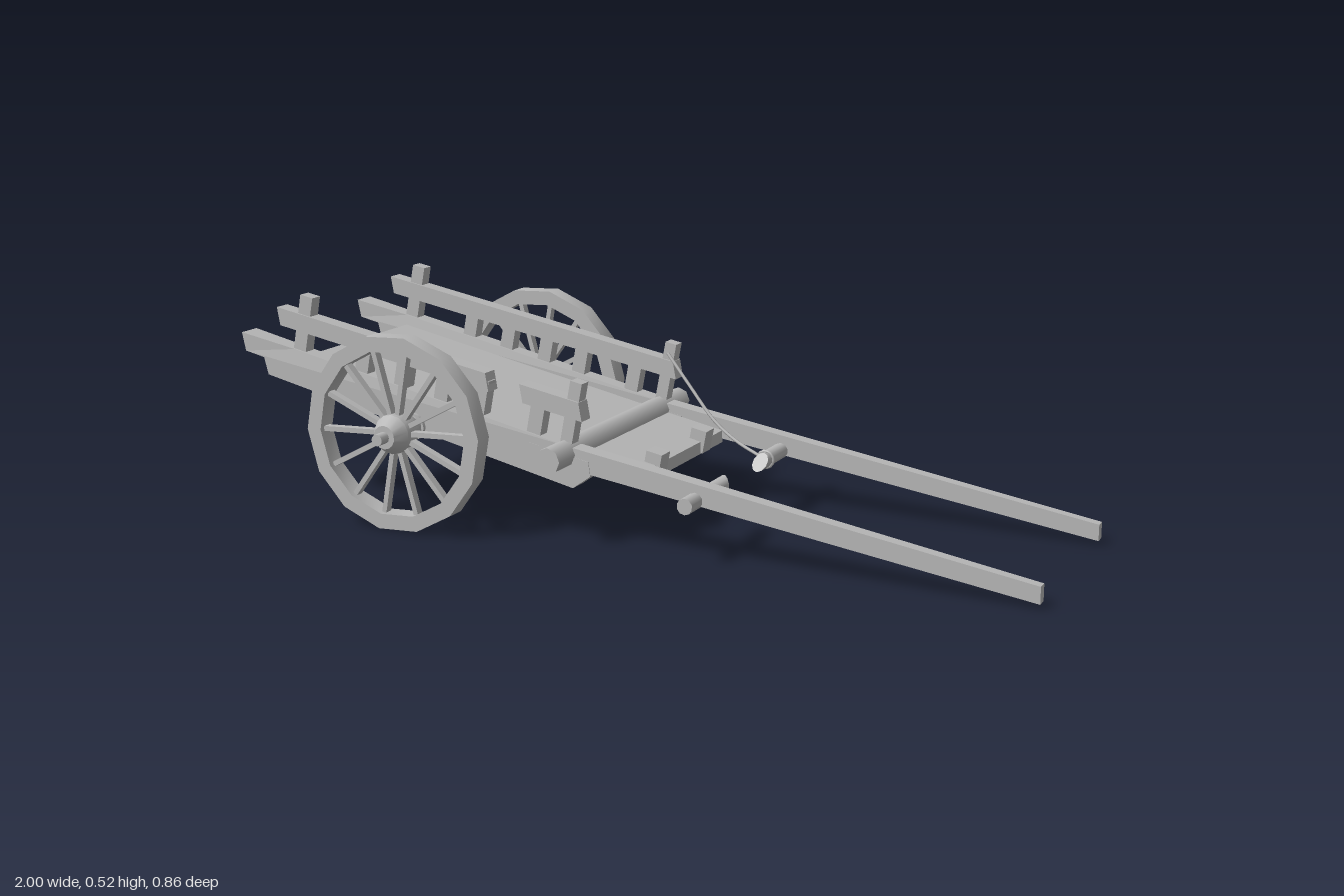
import * as THREE from 'three';
import { toCreasedNormals } from 'three/addons/utils/BufferGeometryUtils.js';

export function createModel() {
  const cart = new THREE.Group();
  cart.name = 'handCart';
  const wood = new THREE.MeshStandardMaterial({ color: 0xb8b8b8 });
  wood.name = 'greyWood';

  const add = (name, geometry, parent = cart) => {
    const mesh = new THREE.Mesh(geometry, wood);
    mesh.name = name;
    parent.add(mesh);
    return mesh;
  };
  // side profile in x/y, given a thickness across z
  const slab = (points, width) => new THREE.ExtrudeGeometry(
    new THREE.Shape(points.map(([x, y]) => new THREE.Vector2(x, y))),
    { depth: width, bevelEnabled: false }).translate(0, 0, -width / 2);
  // round bar lying along z
  const bar = (r, length, sides) =>
    new THREE.CylinderGeometry(r, r, length, sides).rotateX(Math.PI / 2);

  const bedTop = x => 0.365 - (x + 0.85) * 0.209;
  const railY = x => 0.468 - (x + 0.895) * 0.187;
  const tilt = -0.19;

  // sloping bed
  add('bed', slab([[-0.85, 0.335], [0.06, 0.145], [0.06, 0.175], [-0.85, 0.365]], 0.46));
  for (const z of [-0.123, 0.123]) {
    const block = add('bedBracket', new THREE.BoxGeometry(0.04, 0.055, 0.045));
    block.position.set(0.05, 0.177, z);
    block.rotation.z = tilt;
  }

  // cross beams and axle
  add('crossBar', bar(0.031, 0.69, 8)).position.set(-0.115, 0.212, 0);
  add('axleBeam', bar(0.033, 0.56, 12)).position.set(-0.515, 0.235, 0);
  add('axle', bar(0.014, 0.855, 12)).position.set(-0.515, 0.235, 0);

  const fencePost = (parent, x, width, low, high) => {
    const h = high - low;
    const post = add('fencePost', new THREE.BoxGeometry(width, h, 0.032), parent);
    post.position.set(x, (low + high) / 2, 0);
    post.rotation.z = tilt;
  };
  const fenceRail = (parent, x0, x1) => add('fenceRail', slab([
    [x0, railY(x0) - 0.022], [x1, railY(x1) - 0.022],
    [x1 - 0.008, railY(x1) + 0.022], [x0 - 0.008, railY(x0) + 0.022]], 0.042), parent);

  for (const s of [1, -1]) {
    // long shaft, bent at the cross bar and narrowing both ways
    const shaft = slab([[-0.99, 0.375], [-0.85, 0.343], [-0.1, 0.178], [1, 0.014],
      [1, 0.053], [-0.1, 0.23], [-0.85, 0.39], [-1, 0.42]], 1);
    const p = shaft.attributes.position;
    for (let i = 0; i < p.count; i++) {
      const x = p.getX(i);
      const width = x < -0.9 ? 0.058 : x < 0 ? 0.044 : 0.026;
      p.setZ(i, p.getZ(i) * width);
    }
    shaft.computeVertexNormals();
    add('shaft', shaft).position.z = s * 0.248;

    // lower side beam
    add('sideBeam', slab([[-0.93, 0.32], [-0.09, 0.134], [-0.045, 0.166],
      [-0.05, 0.2], [-0.945, 0.375]], 0.046)).position.z = s * 0.248;

    // fence, with a broken gap on the left side
    const fence = new THREE.Group();
    fence.name = s > 0 ? 'leftFence' : 'rightFence';
    fence.position.z = s * 0.248;
    cart.add(fence);
    fencePost(fence, -0.83, 0.035, 0.35, 0.522);
    fencePost(fence, -0.1, 0.03, 0.2, 0.382);
    for (const x of [-0.66, -0.55, -0.44, -0.34, -0.19]) {
      fencePost(fence, x, 0.036, bedTop(x) - 0.01, railY(x));
    }
    if (s > 0) {
      fenceRail(fence, -0.89, -0.31);
      fenceRail(fence, -0.22, -0.067);
    } else fenceRail(fence, -0.89, -0.067);

    // wheel
    const wheel = new THREE.Group();
    wheel.name = s > 0 ? 'leftWheel' : 'rightWheel';
    wheel.position.set(-0.515, 0.235, s * 0.344);
    cart.add(wheel);
    const N = 14;
    const ring = r => Array.from({ length: N }, (_, i) => {
      const a = 0.045 + i / N * Math.PI * 2;
      return new THREE.Vector2(Math.cos(a) * r, Math.sin(a) * r);
    });
    const rim = new THREE.Shape(ring(0.235));
    rim.holes.push(new THREE.Path(ring(0.198).reverse()));
    add('rim', toCreasedNormals(new THREE.ExtrudeGeometry(rim,
      { depth: 0.048, bevelEnabled: false }).translate(0, 0, -0.024), 0.5), wheel);
    for (let i = 0; i < N; i++) {
      const spoke = add('spoke', new THREE.BoxGeometry(0.17, 0.012, 0.02).translate(0.12, 0, 0), wheel);
      spoke.rotation.z = 0.045 + i / N * Math.PI * 2;
    }
    const hub = [[0, -0.078], [0.027, -0.078], [0.027, -0.05], [0.033, -0.048], [0.047, -0.022],
      [0.047, 0.022], [0.028, 0.054], [0, 0.054]].map(([r, y]) => new THREE.Vector2(r, y));
    add('hub', toCreasedNormals(new THREE.LatheGeometry(hub, 14), 0.5), wheel)
      .rotation.x = s * Math.PI / 2;

    // snapped crosspiece with a slanted end
    const stick = bar(0.019, 0.22, 10);
    const q = stick.attributes.position;
    for (let i = 0; i < q.count; i++) {
      if (q.getZ(i) * s < 0) {
        const lean = s > 0 ? q.getX(i) : q.getY(i);
        q.setZ(i, q.getZ(i) + s * lean * 1.1);
      }
    }
    stick.computeVertexNormals();
    add('brokenCrosspiece', toCreasedNormals(stick, 0.7)).position.set(0.215, 0.141, s * 0.212);
  }

  // rope hanging from the right fence to the broken crosspiece
  const rope = new THREE.CatmullRomCurve3([
    [-0.09, 0.355, -0.23], [-0.02, 0.285, -0.207], [0.06, 0.21, -0.18],
    [0.13, 0.172, -0.155], [0.205, 0.15, -0.125]].map(v => new THREE.Vector3(...v)));
  add('rope', new THREE.TubeGeometry(rope, 16, 0.004, 6));
  add('ropeLoop', new THREE.TorusGeometry(0.02, 0.004, 6, 14)).position.set(0.215, 0.141, -0.135);

  return cart;
}
